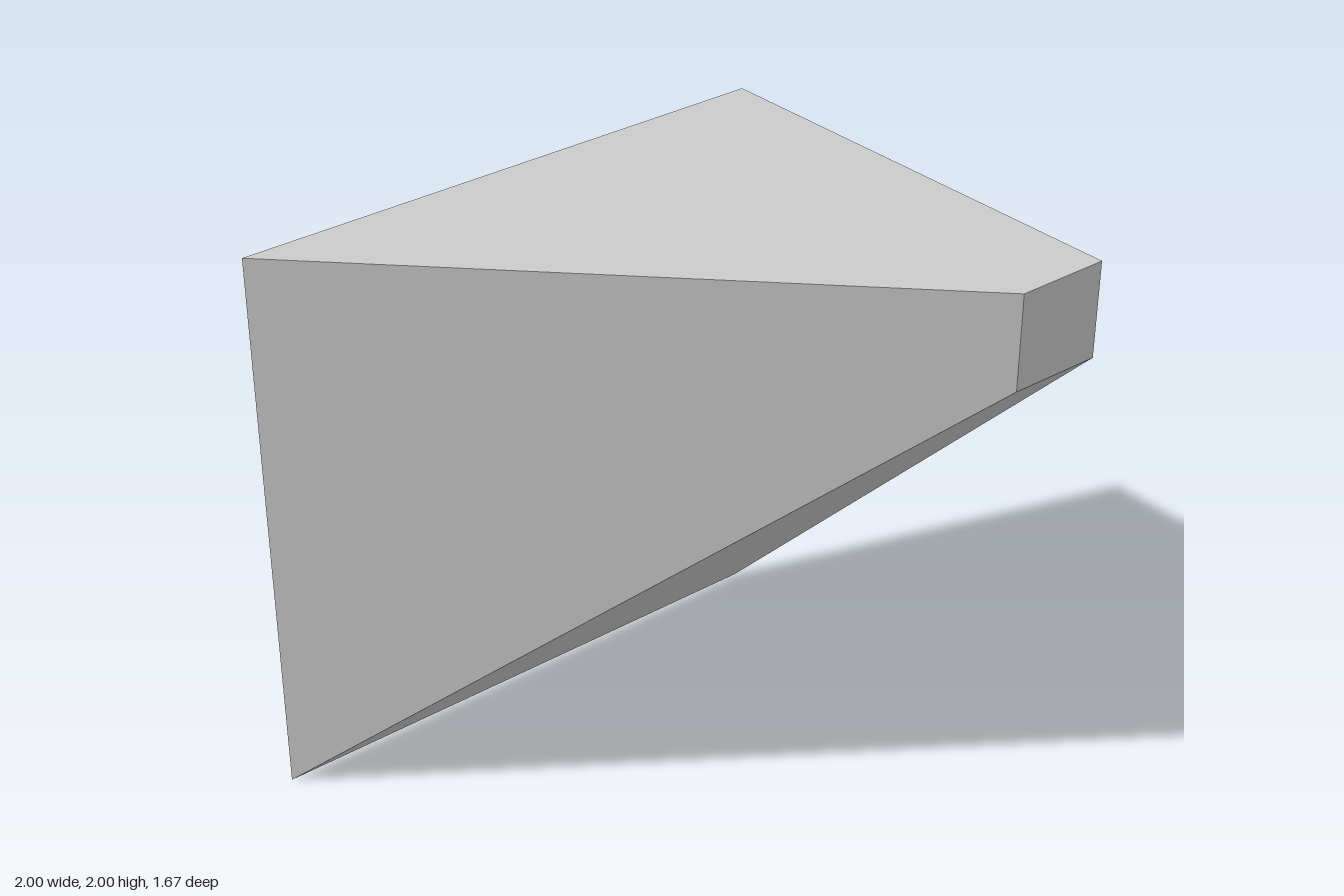
import * as THREE from 'three';

// Square block whose front face shrinks toward its upper +x corner
function taperedBlock(size, depth, frontSize) {
  const geometry = new THREE.BoxGeometry(size, size, depth);
  geometry.translate(0, size / 2, 0);
  const p = geometry.attributes.position;
  const scale = frontSize / size;
  const cornerX = size / 2, cornerY = size;
  for (let i = 0; i < p.count; i++) {
    if (p.getZ(i) < 0) continue;
    p.setX(i, cornerX + (p.getX(i) - cornerX) * scale);
    p.setY(i, cornerY + (p.getY(i) - cornerY) * scale);
  }
  geometry.computeVertexNormals();
  return geometry;
}

export function createModel() {
  const group = new THREE.Group();
  group.name = 'cornerWedge';
  const material = new THREE.MeshStandardMaterial({ color: 0xcccccc, flatShading: true });

  // Back square 2 x 2, front square 1/6 as wide
  const block = new THREE.Mesh(taperedBlock(2, 1.67, 0.335), material);
  block.name = 'taperedBlock';
  group.add(block);
  return group;
}
